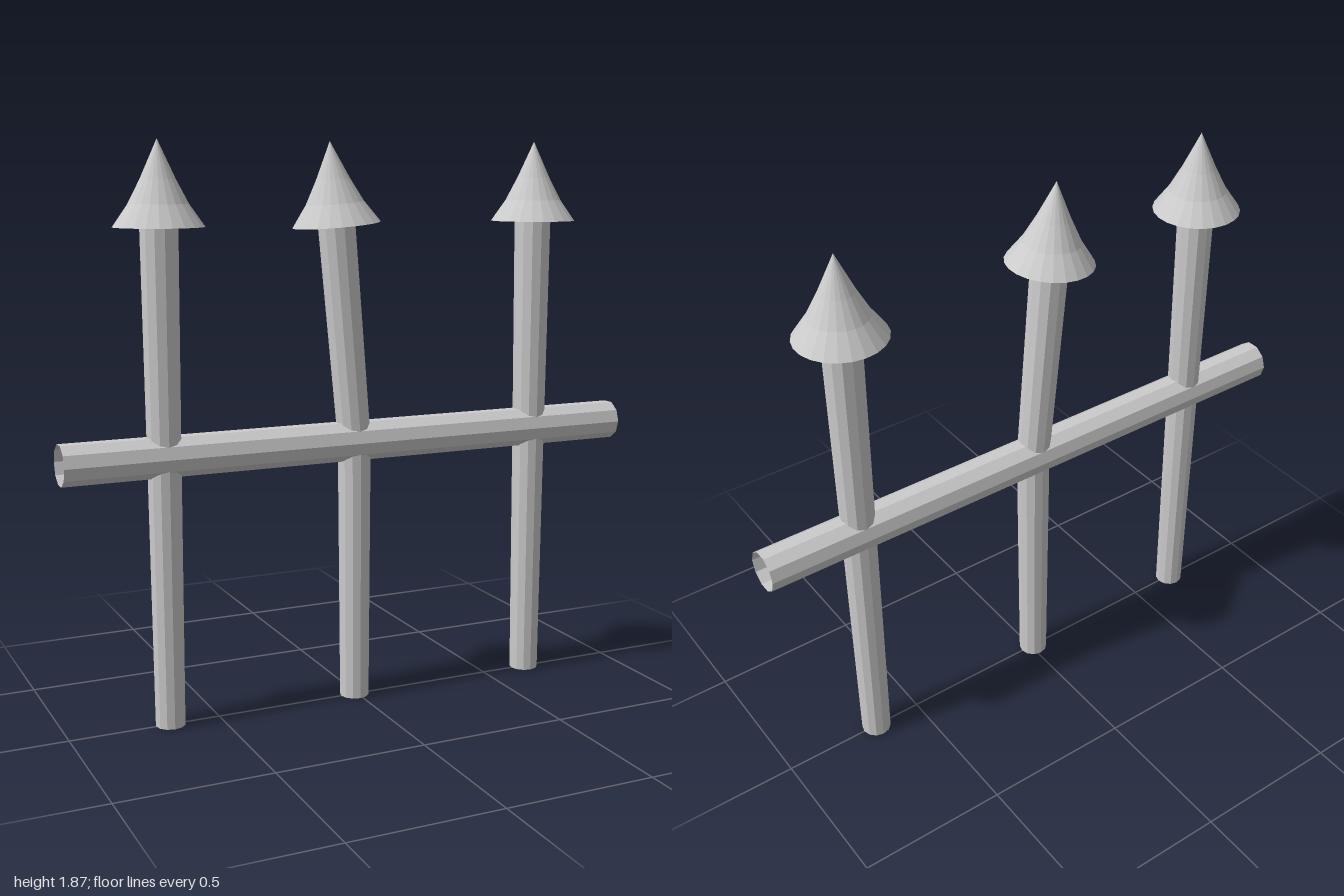
import * as THREE from 'three';

const material = new THREE.MeshStandardMaterial({
  color: 0xcccccc, flatShading: true, side: THREE.DoubleSide,
});

const RAIL_Y = 0.885;
const POLE_TOP = 1.6;

function addMesh(parent, name, geometry) {
  const mesh = new THREE.Mesh(geometry, material);
  mesh.name = name;
  parent.add(mesh);
  return mesh;
}

// Open tapered tube between two heights
function shaft(y0, y1, r0, r1) {
  return new THREE.CylinderGeometry(r1, r0, y1 - y0, 12, 1, true)
    .translate(0, (y0 + y1) / 2, 0);
}

// Spear point: closed base and slightly concave sides
function spearPoint() {
  const profile = [[0, 0], [0.143, 0], [0.094, 0.07], [0.055, 0.145], [0.024, 0.213], [0, 0.266]];
  return new THREE.LatheGeometry(profile.map(([r, y]) => new THREE.Vector2(r, y)), 22);
}

// Picket made of a lower shaft and an upper shaft that may lean from the rail
function picket(name, x, lean) {
  const group = new THREE.Group();
  group.name = name;
  group.position.x = x;
  addMesh(group, 'lowerShaft', shaft(0, RAIL_Y, 0.049, 0.055));

  const upper = new THREE.Group();
  upper.name = 'upperPicket';
  upper.position.y = RAIL_Y;
  upper.rotation.z = lean;
  const length = POLE_TOP - RAIL_Y;
  addMesh(upper, 'upperShaft', shaft(0, length, 0.055, 0.061));
  addMesh(upper, 'spearPoint', spearPoint()).position.y = length;
  group.add(upper);
  return group;
}

export function createModel() {
  const fence = new THREE.Group();
  fence.name = 'fenceSection';

  // Horizontal rail, open at both ends
  const rail = new THREE.CylinderGeometry(0.067, 0.067, 2, 10, 1, true).rotateZ(Math.PI / 2);
  addMesh(fence, 'rail', rail).position.y = RAIL_Y;

  // Two straight pickets and a bent one in the middle
  fence.add(picket('rightPicket', -0.667, 0));
  fence.add(picket('bentPicket', -0.01, THREE.MathUtils.degToRad(5)));
  fence.add(picket('leftPicket', 0.665, 0));
  return fence;
}
